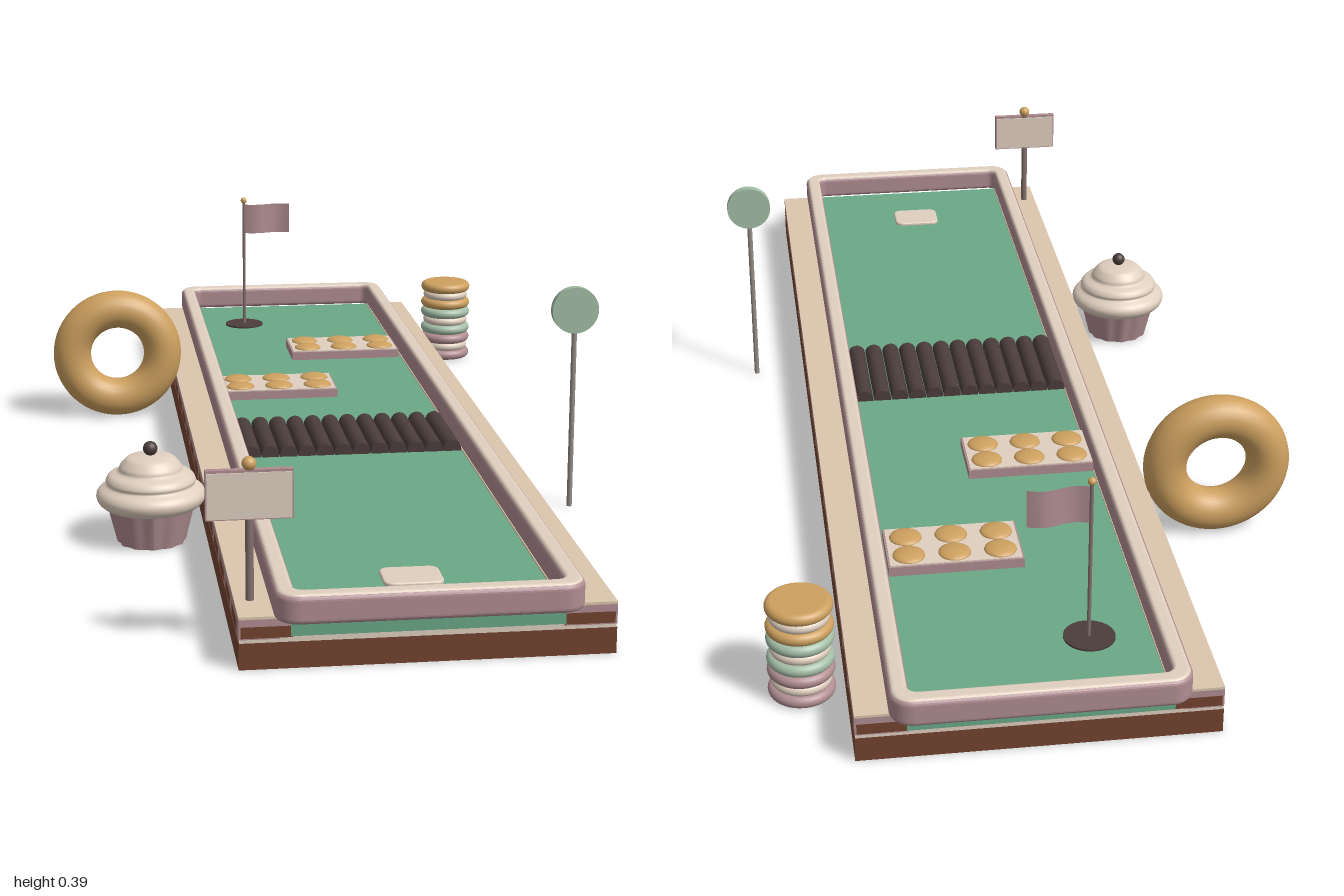
import * as THREE from 'three';

const mat = (name, color, side = THREE.FrontSide) => {
  const m = new THREE.MeshStandardMaterial({ color, side });
  m.name = name;
  return m;
};

export function createModel() {
  const cream = mat('biscuit cream', 0xdcc7ad);
  const pink = mat('strawberry pink', 0xb08d91, THREE.DoubleSide);
  const green = mat('turf green', 0x6aa987);
  const mint = mat('pale mint', 0xa3bda6);
  const gold = mat('caramel gold', 0xcda05f);
  const brown = mat('milk chocolate', 0x734330);
  const dark = mat('dark chocolate', 0x4b3d3b);
  const icing = mat('icing', 0xe0cfbf);
  const steel = mat('grey stick', 0x948d87);
  const mauve = mat('dusty mauve', 0x83706d);

  const root = new THREE.Group();
  root.name = 'candyGolfHole';
  const add = (name, geo, m, x = 0, y = 0, z = 0, parent = root) => {
    const mesh = new THREE.Mesh(geo, m);
    mesh.name = name;
    mesh.position.set(x, y, z);
    parent.add(mesh);
    return mesh;
  };
  const group = (name, x, y, z) => {
    const g = new THREE.Group();
    g.name = name;
    g.position.set(x, y, z);
    root.add(g);
    return g;
  };
  // box given by its limits
  const box = (name, m, x0, x1, y0, y1, z0, z1, parent = root) =>
    add(name, new THREE.BoxGeometry(x1 - x0, y1 - y0, z1 - z0), m,
      (x0 + x1) / 2, (y0 + y1) / 2, (z0 + z1) / 2, parent);
  const cyl = (r, h, n = 28) => new THREE.CylinderGeometry(r, r, h, n);
  const CX = 0.0535, Z = 0.965;

  // lane and its hollow underside
  box('laneBase', mauve, -0.16, 0.265, 0.03, 0.04, -0.95, 0.95);
  box('laneIcing', icing, -0.16, 0.265, 0.04, 0.05, -Z, Z);
  box('turf', green, -0.145, 0.25, 0.05, 0.076, -0.97, 0.97);

  // layered wafer ledges along both sides
  for (const s of [-1, 1]) {
    const ledge = group(s < 0 ? 'rightLedge' : 'leftLedge', CX, 0, 0);
    const part = (name, m, a, b, y0, y1) =>
      box(name, m, Math.min(s * a, s * b), Math.max(s * a, s * b), y0, y1, -Z, Z, ledge);
    part('ledgeWall', brown, 0.255, 0.2725, 0, 0.04);
    part('ledgeIcing', icing, 0.1925, 0.2715, 0.04, 0.045);
    part('ledgeWafer', pink, 0.1925, 0.2725, 0.045, 0.075);
    part('ledgeTop', cream, 0.1925, 0.2725, 0.075, 0.079);
    for (let i = 0; i < 18; i++) {
      const z = -0.9 + i * (1.8 / 17);
      const x = s * 0.2715;
      box('chocolateDash', brown, x - 0.0016, x + 0.0016, 0.047, 0.064, z - 0.037, z + 0.037, ledge);
    }
    for (const e of [-1, 1]) {
      const z = e * (Z - 0.001);
      const x = s * 0.2325;
      box('endDash', brown, x - 0.037, x + 0.037, 0.047, 0.064, z - 0.0016, z + 0.0016, ledge);
    }
  }
  for (const s of [-1, 1]) {
    const z = s * (Z - 0.0085);
    box(s > 0 ? 'frontBoard' : 'backBoard', brown, CX - 0.272, CX + 0.272, 0, 0.04, z - 0.0085, z + 0.0085);
  }

  // rounded rim with a soft icing top
  const roundRect = (C, w, h, r) => {
    const p = new C();
    p.absarc(w - r, h - r, r, 0, Math.PI / 2);
    p.absarc(-w + r, h - r, r, Math.PI / 2, Math.PI);
    p.absarc(-w + r, -h + r, r, Math.PI, Math.PI * 1.5);
    p.absarc(w - r, -h + r, r, Math.PI * 1.5, Math.PI * 2);
    p.closePath();
    return p;
  };
  const slab = (name, shape, m, x, y, z, depth, bevel) => {
    const geo = new THREE.ExtrudeGeometry(shape, {
      depth, bevelEnabled: true, bevelSize: bevel, bevelThickness: bevel, bevelSegments: 5, curveSegments: 10,
    });
    geo.rotateX(-Math.PI / 2);
    add(name, geo, m, x, y, z);
  };
  const ring = (out, inn) => {
    const shape = roundRect(THREE.Shape, 0.2225 - out, 1 - out, 0.035 - out);
    shape.holes.push(roundRect(THREE.Path, 0.2225 - inn, 1 - inn, 0.022));
    return shape;
  };
  slab('rim', ring(0.008, 0.022), pink, CX, 0.084, 0, 0.027, 0.008);
  slab('rimIcing', ring(0.009, 0.022), icing, CX, 0.112, 0, 0.003, 0.006);

  // ridged chocolate crossing
  for (let i = 0; i < 12; i++) {
    const bar = add('chocolateRidge', cyl(0.0155, 0.19, 24), dark, -0.124 + i * 0.0321, 0.08, 0.095);
    bar.rotation.x = Math.PI / 2;
  }

  // two trays with six caramel drops each
  for (const [x, z] of [[0.132, -0.538], [-0.0325, -0.2475]]) {
    const tray = group('biscuitTray', x, 0.076, z);
    add('trayBase', new THREE.BoxGeometry(0.218, 0.016, 0.118), pink, 0, 0.008, 0, tray);
    add('trayTop', new THREE.BoxGeometry(0.212, 0.004, 0.112), icing, 0, 0.016, 0, tray);
    for (let i = -1; i <= 1; i++)
      for (const k of [-1, 1]) {
        const drop = add('caramelDrop', new THREE.SphereGeometry(0.0265, 24, 12), gold, i * 0.074, 0.018, k * 0.0275, tray);
        drop.scale.y = 0.3;
      }
  }

  // tee pad and cup
  slab('teePad', roundRect(THREE.Shape, 0.042, 0.033, 0.012), icing, 0.05, 0.077, 0.825, 0.002, 0.003);
  add('cup', cyl(0.04, 0.004, 36), dark, -0.045, 0.077, -0.805);

  // waving flag
  const flag = group('flag', -0.044, 0, -0.805);
  add('flagPole', cyl(0.003, 0.268), mauve, 0, 0.21, 0, flag);
  add('flagKnob', new THREE.SphereGeometry(0.0065, 20, 14), gold, 0, 0.348, 0, flag);
  const cloth = new THREE.PlaneGeometry(0.097, 0.062, 24, 1);
  const cp = cloth.attributes.position;
  for (let i = 0; i < cp.count; i++) cp.setZ(i, 0.005 * Math.sin((cp.getX(i) + 0.0485) * 65));
  cloth.computeVertexNormals();
  add('flagCloth', cloth, pink, 0.0485, 0.308, 0, flag);

  // signboard
  const sign = group('signboard', -0.196, 0, 0.895);
  add('signPost', cyl(0.006, 0.2), mauve, 0, 0.175, -0.001, sign);
  add('signFrame', new THREE.BoxGeometry(0.126, 0.074, 0.01), pink, 0, 0.238, 0, sign);
  add('signPanel', new THREE.BoxGeometry(0.122, 0.068, 0.014), icing, 0, 0.237, 0, sign);
  add('signKnob', new THREE.SphereGeometry(0.0105, 20, 14), gold, 0, 0.283, 0, sign);

  // upright ring cake
  add('ringCake', new THREE.TorusGeometry(0.0885, 0.0365, 24, 56), gold, -0.334, 0.125, -0.39);

  // cupcake with pleated wrapper
  const cake = group('cupcake', -0.31, 0, 0.382);
  const wrap = new THREE.CylinderGeometry(0.072, 0.055, 0.07, 64, 1);
  const wp = wrap.attributes.position;
  for (let i = 0; i < wp.count; i++) {
    const a = Math.atan2(wp.getZ(i), wp.getX(i));
    const k = 1 + 0.03 * Math.cos(a * 12);
    wp.setX(i, wp.getX(i) * k);
    wp.setZ(i, wp.getZ(i) * k);
  }
  wrap.computeVertexNormals();
  add('wrapper', wrap, pink, 0, 0.035, 0, cake);
  const prof = [[0, 0.056], [0.065, 0.058], [0.084, 0.066], [0.09, 0.079], [0.085, 0.09], [0.073, 0.098],
    [0.074, 0.105], [0.068, 0.114], [0.054, 0.12], [0.051, 0.128], [0.044, 0.137], [0.036, 0.143], [0.018, 0.146], [0, 0.147]];
  add('frosting', new THREE.LatheGeometry(
    new THREE.SplineCurve(prof.map(p => new THREE.Vector2(...p))).getPoints(52).map(p => p.setX(Math.max(p.x, 0))), 48,
  ), icing, 0, 0, 0, cake);
  add('cherry', new THREE.SphereGeometry(0.012, 20, 14), dark, 0, 0.157, 0, cake);

  // stack of three filled biscuits
  const stack = group('biscuitStack', 0.392, 0, -0.78);
  const puck = (r, h) => {
    const pts = [new THREE.Vector2(0, -h / 2)];
    for (let i = 0; i <= 14; i++) {
      const a = -Math.PI / 2 + (i * Math.PI) / 14;
      pts.push(new THREE.Vector2(r - h / 2 + Math.cos(a) * h / 2, Math.sin(a) * h / 2));
    }
    pts.push(new THREE.Vector2(0, h / 2));
    return new THREE.LatheGeometry(pts, 40);
  };
  [pink, mint, gold].forEach((m, i) => {
    const y = i * 0.0555;
    add('lowerShell', puck(0.052, 0.02), m, 0, y + 0.01, 0, stack);
    add('filling', puck(0.047, 0.018), icing, 0, y + 0.0275, 0, stack);
    add('upperShell', puck(0.052, 0.02), m, 0, y + 0.045, 0, stack);
  });

  // lollipop
  const lolly = group('lollipop', 0.417, 0, 0.29);
  add('lollipopStick', cyl(0.0045, 0.32), steel, 0, 0.16, 0, lolly);
  add('lollipopDisc', cyl(0.04, 0.014, 40), mint, 0, 0.348, 0, lolly).rotation.x = Math.PI / 2;

  return root;
}
